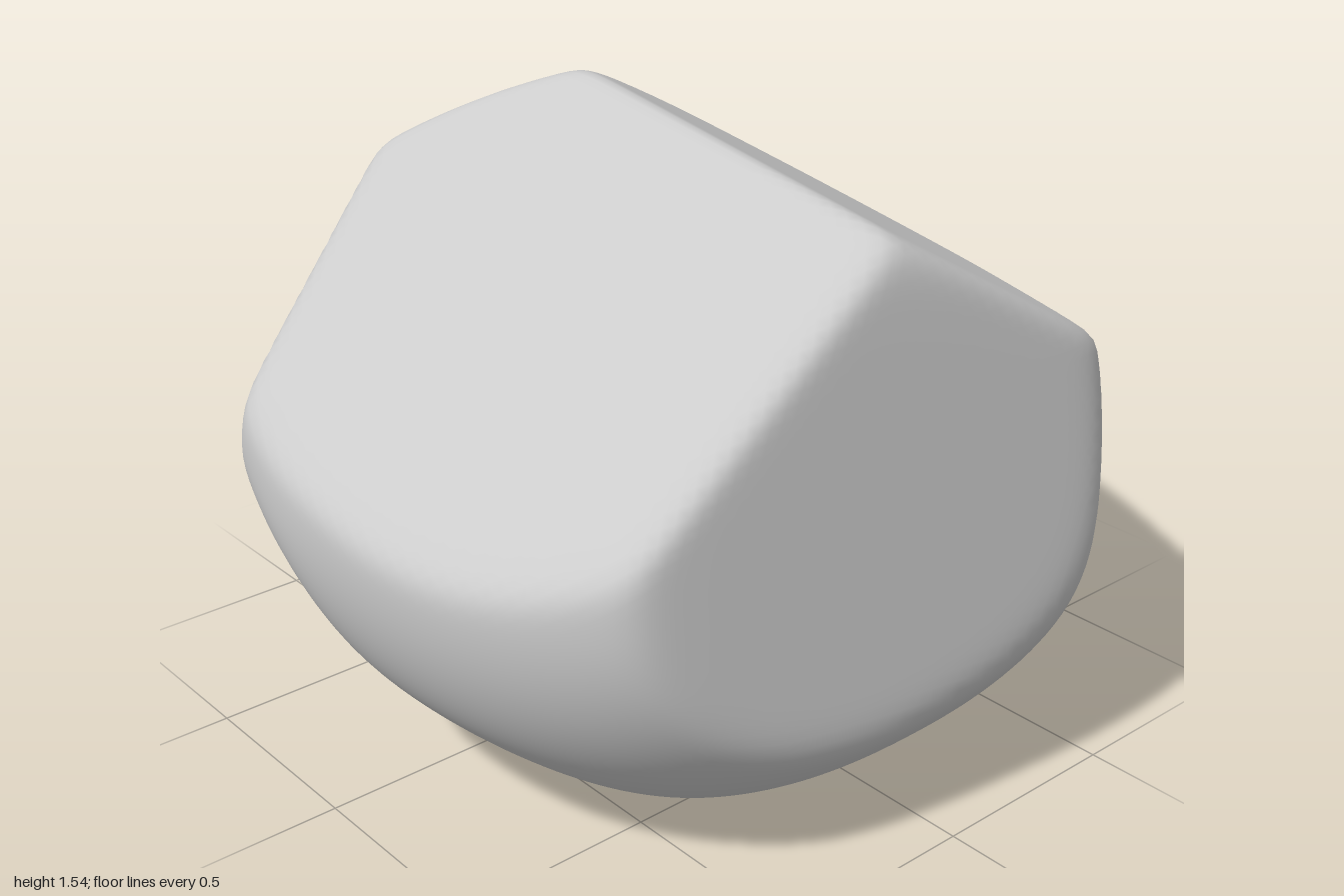
import * as THREE from 'three';
import { mergeVertices } from 'three/addons/utils/BufferGeometryUtils.js';

// Cut planes [nx, ny, nz, distance from the core]
const CRISP = [
  [0.13, 0.76, 0.637, 0.694],    // sloping front top
  [0.135, 0.866, -0.49, 0.675],  // sloping back top
  [0.98, 0.114, 0.15, 0.908],    // left side
  [-0.81, 0.27, 0.52, 0.857],    // right front
  [0, -1, 0, 0.7],               // resting face
];
const SOFT = [
  [-0.64, 0.77, 0, 0.876],       // right shoulder
  [-0.3, 0.954, 0, 0.875],       // crown
  [-0.62, -0.78, 0, 0.795],      // right underside
  [0, -0.845, 0.535, 0.845],     // front underside
  [-0.5, -0.6, 0.62, 0.835],     // right front underside
  [0.52, 0, -0.85, 0.937],       // back left
];
const CORE_HEIGHT = 0.7;

const power = (planes, d, p) => planes.reduce((sum, [x, y, z, dist]) =>
  sum + Math.pow(Math.max(0, (d.x * x + d.y * y + d.z * z) / dist), p), 0);

// Distance from the core to the surface along direction d
function radius(d) {
  const x = Math.abs(d.x) / (d.x > 0 ? 1.08 : 1);
  const z = Math.abs(d.z) / (d.z > 0 ? 1 : 1.01);
  const y = d.y / (d.y > 0 ? 1.05 : 0.825);
  const body = Math.hypot(Math.pow(x ** 2.4 + z ** 2.4, 1 / 2.4), y);
  const soft = Math.pow(body ** 22 + power(SOFT, d, 22), 1 / 22);
  return Math.pow(soft ** 60 + power(CRISP, d, 60), -1 / 60);
}

export function createModel() {
  const group = new THREE.Group();
  group.name = 'rock';

  // Boulder: a ball pushed in to its cut planes
  let geo = new THREE.IcosahedronGeometry(1, 40);
  geo.deleteAttribute('uv');
  geo.deleteAttribute('normal');
  geo = mergeVertices(geo, 1e-4);
  const pos = geo.attributes.position;
  const d = new THREE.Vector3();
  for (let i = 0; i < pos.count; i++) {
    d.fromBufferAttribute(pos, i).normalize();
    d.multiplyScalar(radius(d));
    pos.setXYZ(i, d.x, d.y + CORE_HEIGHT, d.z);
  }
  geo.computeVertexNormals();

  const boulder = new THREE.Mesh(geo, new THREE.MeshStandardMaterial({ color: 0xcccccc }));
  boulder.name = 'boulder';
  group.add(boulder);
  return group;
}
